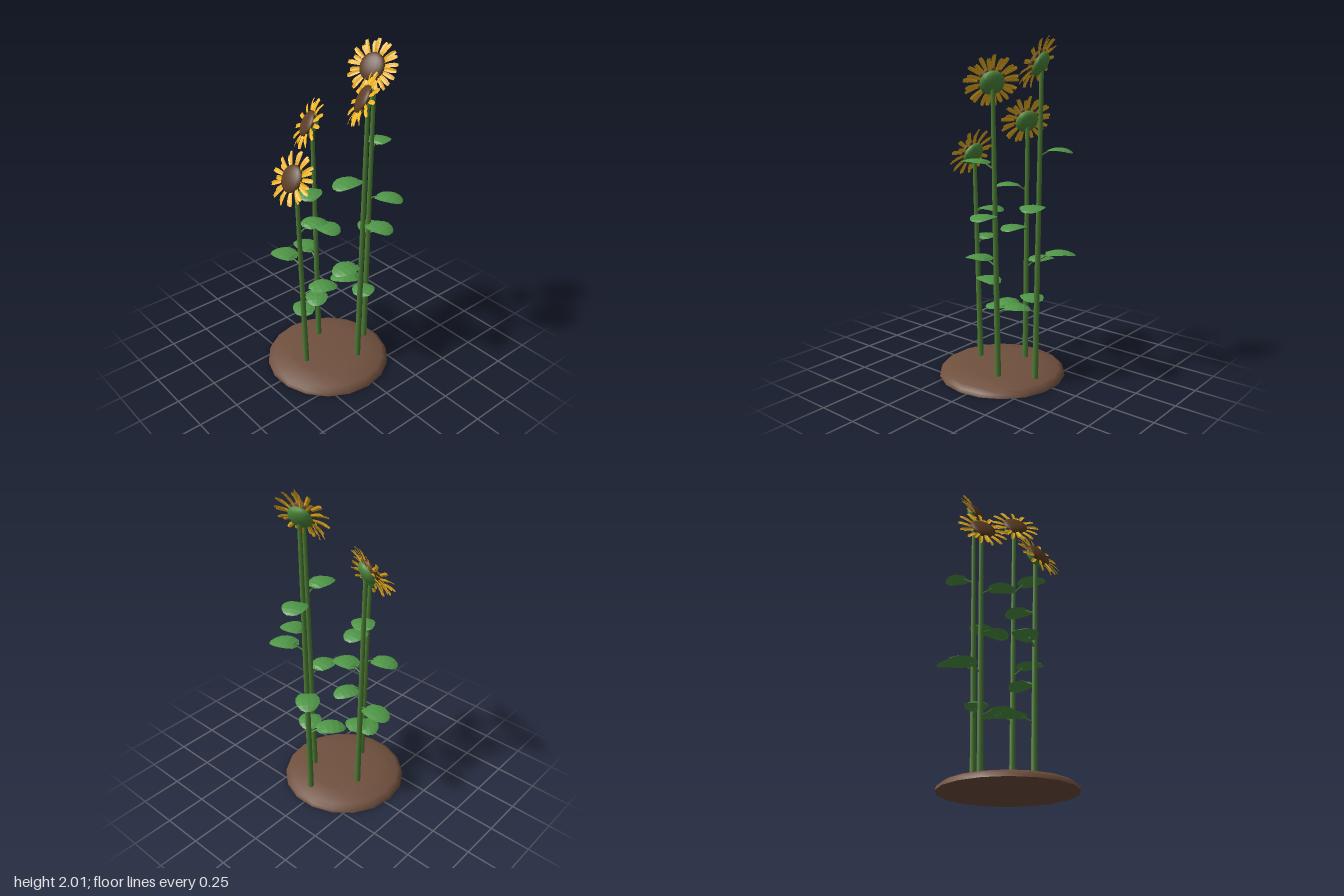
import * as THREE from 'three';
import { toCreasedNormals } from 'three/addons/utils/BufferGeometryUtils.js';

const mat = (color, extra = {}) => new THREE.MeshStandardMaterial({ color, ...extra });
const soilMat = mat(0x70503e);
const stemMat = mat(0x4c7d34);
const leafMat = mat(0x4f9647, { side: THREE.DoubleSide, flatShading: true });
const petalMat = mat(0xf0b420, { side: THREE.DoubleSide, flatShading: true });
const seedMat = mat(0x5c3d25);
const sepalMat = mat(0x4f8a3c);

function mesh(name, geometry, material) {
  const m = new THREE.Mesh(geometry, material);
  m.name = name;
  return m;
}

// Thin sheet from cross-sections: each row is an array of [x, y, z]
function sheet(rows) {
  const n = rows[0].length, index = [];
  for (let r = 0; r < rows.length - 1; r++)
    for (let c = 0; c < n - 1; c++) {
      const a = r * n + c, b = a + n;
      index.push(a, b, a + 1, a + 1, b, b + 1);
    }
  const g = new THREE.BufferGeometry();
  g.setAttribute('position', new THREE.Float32BufferAttribute(rows.flat(2), 3));
  g.setIndex(index);
  g.computeVertexNormals();
  return g;
}

// Tapered rod between two points
function rod(name, a, b, ra, rb, sides) {
  const d = b.clone().sub(a);
  const m = mesh(name, new THREE.CylinderGeometry(rb, ra, d.length(), sides), stemMat);
  m.position.copy(a).addScaledVector(d, 0.5);
  m.quaternion.setFromUnitVectors(new THREE.Vector3(0, 1, 0), d.normalize());
  return m;
}

// Leaf blade: [distance, half width, height], folded down from the midrib
const bladeGeo = sheet([
  [0.052, 0.012, 0.0], [0.068, 0.05, 0.012], [0.1, 0.068, 0.02], [0.135, 0.07, 0.021],
  [0.17, 0.06, 0.015], [0.198, 0.04, 0.004], [0.212, 0.015, -0.005],
].map(([z, w, y]) => [-1, -0.55, 0, 0.55, 1].map(
  s => [s * w, y - 0.16 * w * s * s, z - (z < 0.07 ? 0.012 * s * s : 0)])));

// Leaf reaching from a stem point towards a tip (x, z)
function makeLeaf(from, tipX, tipZ) {
  const leaf = new THREE.Group();
  leaf.name = 'leaf';
  leaf.add(rod('leafStalk', new THREE.Vector3(0, -0.03, 0), new THREE.Vector3(0, 0.006, 0.07), 0.006, 0.004, 5));
  leaf.add(mesh('leafBlade', bladeGeo, leafMat));
  const dx = tipX - from.x, dz = tipZ - from.z;
  leaf.position.copy(from);
  leaf.rotation.y = Math.atan2(dx, dz);
  leaf.scale.set(1, 1, Math.hypot(dx, dz) / 0.212);
  return leaf;
}

// Petal: a narrow strip, widest near its blunt end
const petalGeo = sheet([
  [0.06, 0.007, 0], [0.1, 0.012, 0.006], [0.135, 0.0135, 0.006], [0.158, 0.009, 0.001],
].map(([y, w, z]) => [[w, y, z], [0, y, z - 0.003], [-w, y, z]]));

const seedGeo = new THREE.SphereGeometry(0.08, 16, 10);
const sepalGeo = new THREE.SphereGeometry(0.072, 14, 8);

function makeHead() {
  const head = new THREE.Group();
  head.name = 'flowerHead';
  const seeds = mesh('seedDisc', seedGeo, seedMat);
  seeds.scale.z = 0.32;
  seeds.position.z = 0.006;
  const sepals = mesh('sepalBack', sepalGeo, sepalMat);
  sepals.scale.z = 0.5;
  sepals.position.z = -0.014;
  head.add(seeds, sepals);
  // Two alternating layers of petals
  const count = 24;
  for (let i = 0; i < count; i++) {
    const back = i % 2;
    const p = mesh('petal', petalGeo, petalMat);
    p.rotation.order = 'ZXY';
    p.rotation.set(back ? -0.05 : 0.05, i % 3 === 0 ? 0.2 : -0.12, (i / count) * Math.PI * 2);
    p.scale.setScalar(back ? 0.95 : 1);
    p.position.z = back ? -0.005 : 0.002;
    head.add(p);
  }
  head.rotation.order = 'YXZ';
  return head;
}

// base [x, z], head centre [x, y, z], yaw, leaves [height, tip x, tip z]
const flowers = [
  { name: 'frontFlower', base: [0.0, 0.22], head: [-0.005, 1.34, 0.285], yaw: -0.03,
    leaves: [[1.01, -0.01, 0.055], [0.8, -0.21, 0.29], [0.585, 0.07, 0.03], [0.37, -0.17, 0.1]] },
  { name: 'leftFlower', base: [-0.16, -0.01], head: [-0.195, 1.535, 0.02], yaw: -0.46,
    leaves: [[1.145, -0.05, 0.15], [0.905, 0.035, 0.0], [0.665, -0.395, -0.035], [0.42, -0.02, 0.12]] },
  { name: 'rightFlower', base: [0.165, -0.06], head: [0.195, 1.77, -0.045], yaw: -0.58,
    leaves: [[1.32, 0.21, 0.165], [1.035, 0.39, -0.09], [0.76, 0.19, 0.15], [0.48, 0.06, -0.22]] },
  { name: 'backFlower', base: [0.035, -0.235], head: [0.043, 1.87, -0.245], yaw: 0.23,
    leaves: [[1.395, -0.03, -0.43], [1.09, 0.235, -0.33], [0.8, -0.12, -0.4], [0.5, -0.11, -0.07]] },
];

function makeFlower({ name, base, head, yaw, leaves }) {
  const flower = new THREE.Group();
  flower.name = name;
  const bloom = makeHead();
  bloom.position.set(...head);
  bloom.rotation.set(-0.5, yaw, 0);
  const bottom = new THREE.Vector3(base[0], 0.03, base[1]);
  const top = new THREE.Vector3(0, 0, -0.025).applyEuler(bloom.rotation).add(bloom.position);
  flower.add(bloom, rod('stem', bottom, top, 0.018, 0.012, 8));
  for (const [y, x, z] of leaves) {
    const from = bottom.clone().lerp(top, (y - bottom.y) / (top.y - bottom.y));
    flower.add(makeLeaf(from, x, z));
  }
  return flower;
}

export function createModel() {
  const model = new THREE.Group();
  model.name = 'sunflowerPatch';
  // Low soil mound
  const profile = [[0, 0], [0.385, 0], [0.378, 0.022], [0.35, 0.04], [0.23, 0.058], [0, 0.064]]
    .map(([x, y]) => new THREE.Vector2(x, y));
  const mound = mesh('soilMound', toCreasedNormals(
    new THREE.LatheGeometry(profile, 18, Math.PI / 2), 0.75), soilMat);
  mound.position.z = 0.045;
  model.add(mound, ...flowers.map(makeFlower));
  return model;
}
